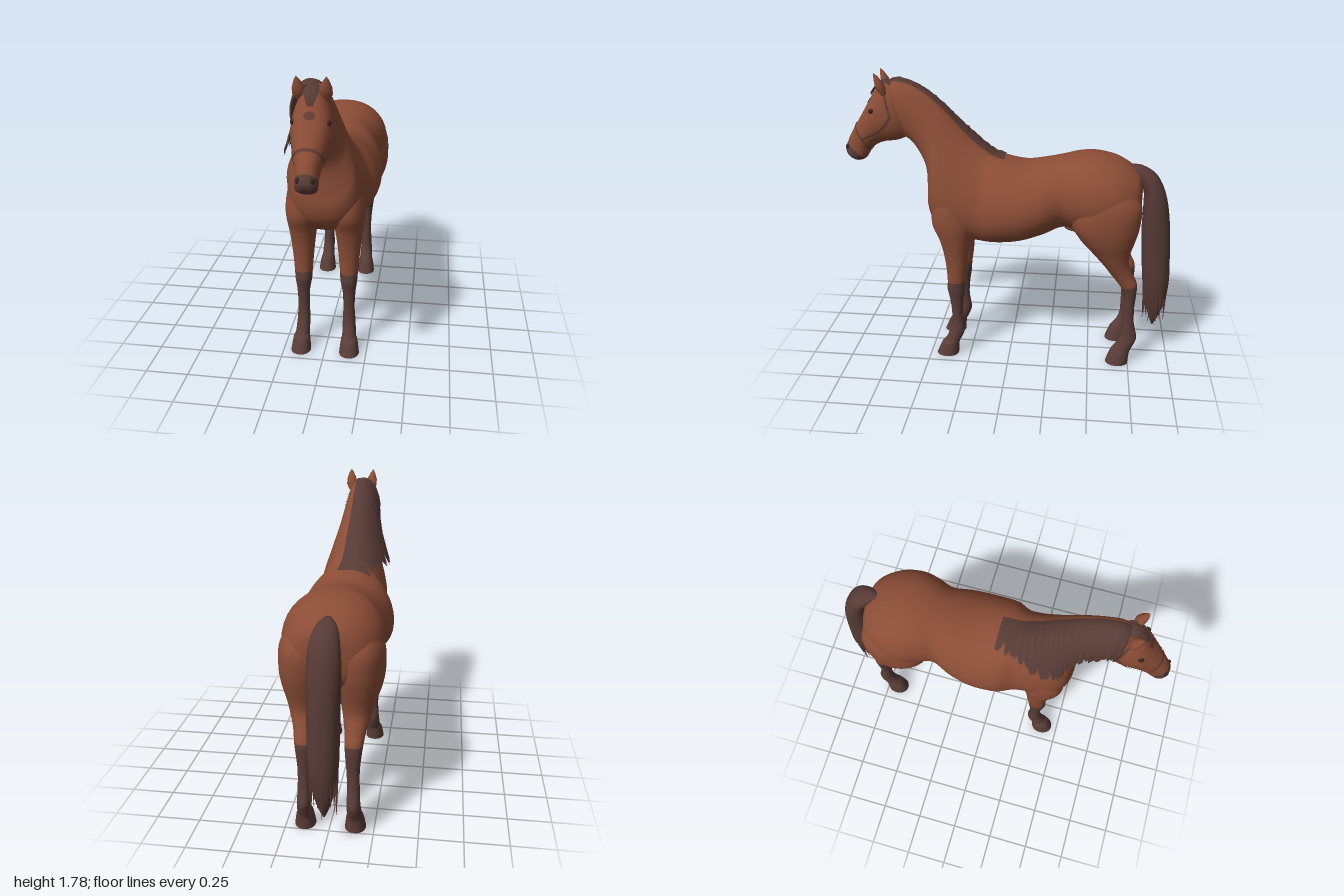
import * as THREE from 'three';

const mat = (name, color, side = THREE.FrontSide) => {
  const m = new THREE.MeshStandardMaterial({ color, side });
  m.name = name;
  return m;
};
const coat = mat('bay coat', 0x8b4d36);
const dark = mat('dark points', 0x5a3d37);
const hair = mat('mane and tail hair', 0x563a35, THREE.DoubleSide);
const strap = mat('bridle marks', 0x613c33, THREE.DoubleSide);
const black = mat('eye', 0x35241f);

// Section: [edge A z, y, edge B z, y, half width, centre x, pear factor]
const BODY = [
  [-.78, 1.12, -.775, 1.02, .03, 0, 0], [-.765, 1.2, -.765, .93, .14, 0, 0],
  [-.72, 1.25, -.72, .87, .21, 0, 0], [-.62, 1.305, -.62, .83, .265, 0, 0],
  [-.5, 1.33, -.5, .83, .28, 0, 0], [-.4, 1.325, -.4, .86, .255, 0, 0],
  [-.31, 1.305, -.31, .875, .23, 0, .05], [-.2, 1.28, -.2, .83, .265, 0, .1],
  [-.08, 1.265, -.06, .785, .285, 0, .12], [.08, 1.3, .08, .765, .275, 0, .15],
  [.15, 1.335, .2, .765, .23, 0, .2], [.22, 1.39, .36, .79, .215, 0, .25],
  [.28, 1.447, .46, .87, .2, 0, .28], [.33, 1.5, .5, .97, .175, 0, .28],
  [.37, 1.542, .5, 1.08, .15, 0, .25], [.42, 1.59, .505, 1.2, .122, 0, .2],
  [.5, 1.655, .54, 1.29, .1, 0, .12], [.59, 1.705, .585, 1.36, .088, 0, .1],
  [.68, 1.722, .64, 1.4, .08, 0, 0], [.74, 1.69, .7, 1.43, .06, 0, 0]];
const HEAD = [
  [.65, 1.67, .6, 1.45, .06, 0, 0], [.72, 1.718, .625, 1.395, .088, 0, .08],
  [.785, 1.69, .685, 1.372, .104, 0, .08], [.835, 1.61, .745, 1.365, .104, 0, 0],
  [.878, 1.54, .8, 1.345, .09, 0, 0], [.928, 1.46, .84, 1.315, .072, 0, 0],
  [.965, 1.4, .865, 1.275, .06, 0, 0], [.984, 1.36, .885, 1.25, .057, 0, 0],
  [1, 1.315, .925, 1.238, .055, 0, 0], [.99, 1.282, .965, 1.252, .03, 0, 0]];
const FORELEG = [
  [.4, 1.14, .28, 1.14, .05, .13, 0], [.455, 1.02, .24, 1.02, .088, .13, 0],
  [.465, .9, .215, .9, .1, .13, 0], [.425, .8, .235, .8, .084, .135, 0],
  [.4, .7, .25, .7, .07, .135, 0], [.387, .6, .26, .6, .06, .135, 0],
  [.383, .515, .272, .515, .053, .135, 0], [.386, .46, .277, .45, .049, .135, 0],
  [.37, .38, .288, .38, .038, .137, 0], [.362, .28, .295, .28, .034, .137, 0],
  [.368, .2, .283, .19, .038, .138, 0], [.387, .14, .288, .15, .04, .14, 0],
  [.407, .1, .31, .1, .042, .142, 0], [.43, .075, .32, .075, .05, .145, 0],
  [.463, 0, .325, 0, .06, .147, 0]];
const HINDLEG = [
  [-.44, 1.2, -.66, 1.2, .06, .15, 0], [-.38, 1.08, -.765, 1.08, .128, .15, 0],
  [-.365, .95, -.77, .95, .14, .15, 0], [-.42, .85, -.748, .85, .125, .15, 0],
  [-.49, .77, -.725, .77, .1, .148, 0], [-.56, .69, -.718, .7, .08, .145, 0],
  [-.62, .61, -.745, .62, .06, .14, 0], [-.68, .53, -.776, .55, .05, .137, 0],
  [-.7, .46, -.775, .46, .042, .135, 0], [-.702, .38, -.77, .38, .036, .135, 0],
  [-.702, .28, -.775, .28, .035, .137, 0], [-.7, .2, -.795, .19, .038, .138, 0],
  [-.68, .14, -.788, .15, .04, .14, 0], [-.65, .1, -.767, .1, .043, .14, 0],
  [-.635, .07, -.757, .07, .05, .142, 0], [-.612, 0, -.752, 0, .06, .143, 0]];
const TAIL = [
  [-.7, 1.2, -.7, 1.265, .03, 0, 0], [-.75, 1.17, -.77, 1.258, .06, 0, 0],
  [-.785, 1.1, -.86, 1.2, .08, 0, 0], [-.79, 1, -.92, 1.08, .09, 0, 0],
  [-.79, .85, -.955, .9, .088, 0, 0], [-.805, .65, -.975, .65, .085, 0, 0],
  [-.82, .5, -.98, .5, .08, 0, 0], [-.84, .37, -.965, .37, .062, 0, 0],
  [-.87, .27, -.935, .27, .034, 0, 0], [-.895, .2, -.905, .2, .005, 0, 0]];

// Smoothly interpolated section at fractional index t
function section(rings, t) {
  const n = rings.length - 1;
  const i = Math.min(n - 1, Math.max(0, Math.floor(t))), f = t - i;
  const [p, a, b, q] = [i - 1, i, i + 1, i + 2].map(k => rings[Math.min(n, Math.max(0, k))]);
  return a.map((v, k) => v + .5 * f * (b[k] - p[k] + f * (2 * p[k] - 5 * v + 4 * b[k] - q[k]
    + f * (3 * (v - b[k]) + q[k] - p[k]))));
}
// Point on a section: angle 0 is edge A, positive turns towards +x
function ringPoint(s, angle, off = 0, flip = 1) {
  const c = Math.cos(angle), sn = Math.sin(angle), k = (1 - c) / 2;
  const len = Math.hypot(s[0] - s[2], s[1] - s[3]) || 1, o = off * c / len;
  const wide = Math.sign(sn) * Math.abs(sn) ** .9 * s[4] * (1 - s[6] * c);
  return [flip * s[5] + wide + off * sn,
    s[1] + (s[3] - s[1]) * k + (s[1] - s[3]) * o,
    s[0] + (s[2] - s[0]) * k + (s[0] - s[2]) * o];
}
function geometry(pos, idx) {
  const g = new THREE.BufferGeometry();
  g.setAttribute('position', new THREE.Float32BufferAttribute(pos, 3));
  g.setIndex(idx);
  g.computeVertexNormals();
  return g;
}
// Closed loft through sections; the second material starts at section `split`
function loft(name, rings, materials, split = rings.length - 1, flip = 1, seg = 28, sub = 5) {
  const rows = (rings.length - 1) * sub, pos = [], idx = [];
  for (let i = 0; i <= rows; i++) {
    const s = section(rings, i / sub);
    for (let j = 0; j < seg; j++) pos.push(...ringPoint(s, j / seg * Math.PI * 2, 0, flip));
  }
  const cap = (row, end) => {
    const base = pos.length / 3, mid = [0, 0, 0];
    for (let j = 0; j < seg; j++) for (let k = 0; k < 3; k++) {
      const v = pos[(row * seg + j) * 3 + k];
      pos.push(v);
      mid[k] += v / seg;
    }
    pos.push(...mid);
    for (let j = 0; j < seg; j++) {
      const a = base + j, b = base + (j + 1) % seg;
      idx.push(base + seg, ...(end ? [b, a] : [a, b]));
    }
  };
  cap(0, false);
  let change = 0;
  for (let i = 0; i < rows; i++) {
    if (i === split * sub) change = idx.length;
    for (let j = 0; j < seg; j++) {
      const a = i * seg + j, b = i * seg + (j + 1) % seg;
      idx.push(a, a + seg, b, b, a + seg, b + seg);
    }
  }
  cap(rows, true);
  const g = geometry(pos, idx);
  if (change) {
    g.addGroup(0, change, 0);
    g.addGroup(change, idx.length - change, 1);
  }
  const m = new THREE.Mesh(g, change ? materials : materials[0]);
  m.name = name;
  return m;
}
// Thin sheet lying on a loft; rule(u, v) gives [section index, angle, offset]
function patch(name, rings, material, nu, nv, rule) {
  const pos = [], idx = [];
  for (let i = 0; i <= nu; i++) for (let j = 0; j <= nv; j++) {
    const [t, a, off] = rule(i / nu, j / nv, i);
    pos.push(...ringPoint(section(rings, t), a, off));
    if (i < nu && j < nv) {
      const k = i * (nv + 1) + j;
      idx.push(k, k + nv + 1, k + 1, k + 1, k + nv + 1, k + nv + 2);
    }
  }
  const m = new THREE.Mesh(geometry(pos, idx), material);
  m.name = name;
  return m;
}
function ball(name, material, p, s) {
  const m = new THREE.Mesh(new THREE.SphereGeometry(1, 16, 12), material);
  m.name = name;
  m.position.set(...p);
  m.scale.set(...s);
  return m;
}
const noise = k => Math.abs(Math.sin(k * 12.9898) * 43758.5453) % 1;

export function createModel() {
  const horse = new THREE.Group();
  horse.name = 'horse';
  horse.add(loft('bodyAndNeck', BODY, [coat], undefined, 1, 40));
  horse.add(loft('head', HEAD, [coat, dark], 7));
  horse.add(loft('tail', TAIL, [hair]));
  horse.add(ball('underbelly', coat, [0, .86, -.4], [.05, .035, .08]));

  const earShape = [[.018, 0], [.034, .04], [.031, .075], [.016, .115], [0, .14]]
    .map(p => new THREE.Vector2(...p));
  for (const s of [1, -1]) {
    const side = s > 0 ? 'left' : 'right';
    horse.add(loft(side + 'Foreleg', FORELEG, [coat, dark], 6, s));
    horse.add(loft(side + 'HindLeg', HINDLEG, [coat, dark], 7, s));
    // Ear
    const ear = new THREE.Mesh(new THREE.LatheGeometry(earShape, 14), coat);
    ear.name = side + 'Ear';
    ear.position.set(s * .062, 1.65, .73);
    ear.rotation.set(.38, 0, -s * .08);
    ear.scale.z = .75;
    horse.add(ear);
    // Eye and nostril
    horse.add(ball(side + 'Eye', black, [s * .088, 1.56, .808], [.013, .014, .018]));
    horse.add(ball(side + 'Nostril', black, [s * .035, 1.325, .982], [.013, .018, .012]));
    // Straps of the bridle
    horse.add(patch(side + 'CheekStrap', HEAD, strap, 14, 1,
      (u, v) => [1.25 + v * .2 + u * .1, s * (.5 + u * 1.1), .006]));
    horse.add(patch(side + 'JawStrap', HEAD, strap, 24, 1,
      (u, v) => [1.35 + u * 3.6, s * (1.6 + v * .13 + .3 * Math.sin(u * Math.PI)), .005]));
  }
  horse.add(patch('noseband', HEAD, strap, 32, 1, (u, v) => [4.9 + v * .2, u * Math.PI * 2, .004]));
  horse.add(patch('foreheadMark', HEAD, strap, 20, 2, (u, v) => [
    3.15 + .25 * v * Math.sin(u * Math.PI * 2), .24 * v * Math.cos(u * Math.PI * 2), .004]));

  // Mane falling over the right side of the neck, with a ragged edge
  horse.add(patch('mane', BODY, hair, 80, 14, (u, v, i) => {
    const t = 8.7 + u * 9.8;
    const end = .5 + 1.25 * Math.min(1, u * 1.9) - .28 * noise(i >> 1) * (i % 2 ? 1 : .4);
    const ridge = .004 * Math.sin(i * 1.3);
    return [t, .22 - v * (end + .22), .006 + .045 * Math.sin(v * 1.5) * Math.min(1, u * 4) + ridge * v];
  }));
  horse.add(patch('forelock', HEAD, hair, 12, 8, (u, v) => [
    .7 + u * 2, (v - .5) * .95 * (1 - u * u * .8), .01 + .006 * Math.sin(v * 20)]));

  // Loose strands at the end of the tail
  for (let k = 0; k < 18; k++) {
    const a = k / 18 * Math.PI * 2, len = .16 + .12 * noise(k + 3);
    const strand = new THREE.Mesh(new THREE.ConeGeometry(.011, len, 5), hair);
    strand.name = 'tailStrand';
    strand.rotation.x = Math.PI;
    strand.position.set(Math.sin(a) * .07, .47 - len / 2, -.9 + Math.cos(a) * .066);
    horse.add(strand);
  }
  return horse;
}
